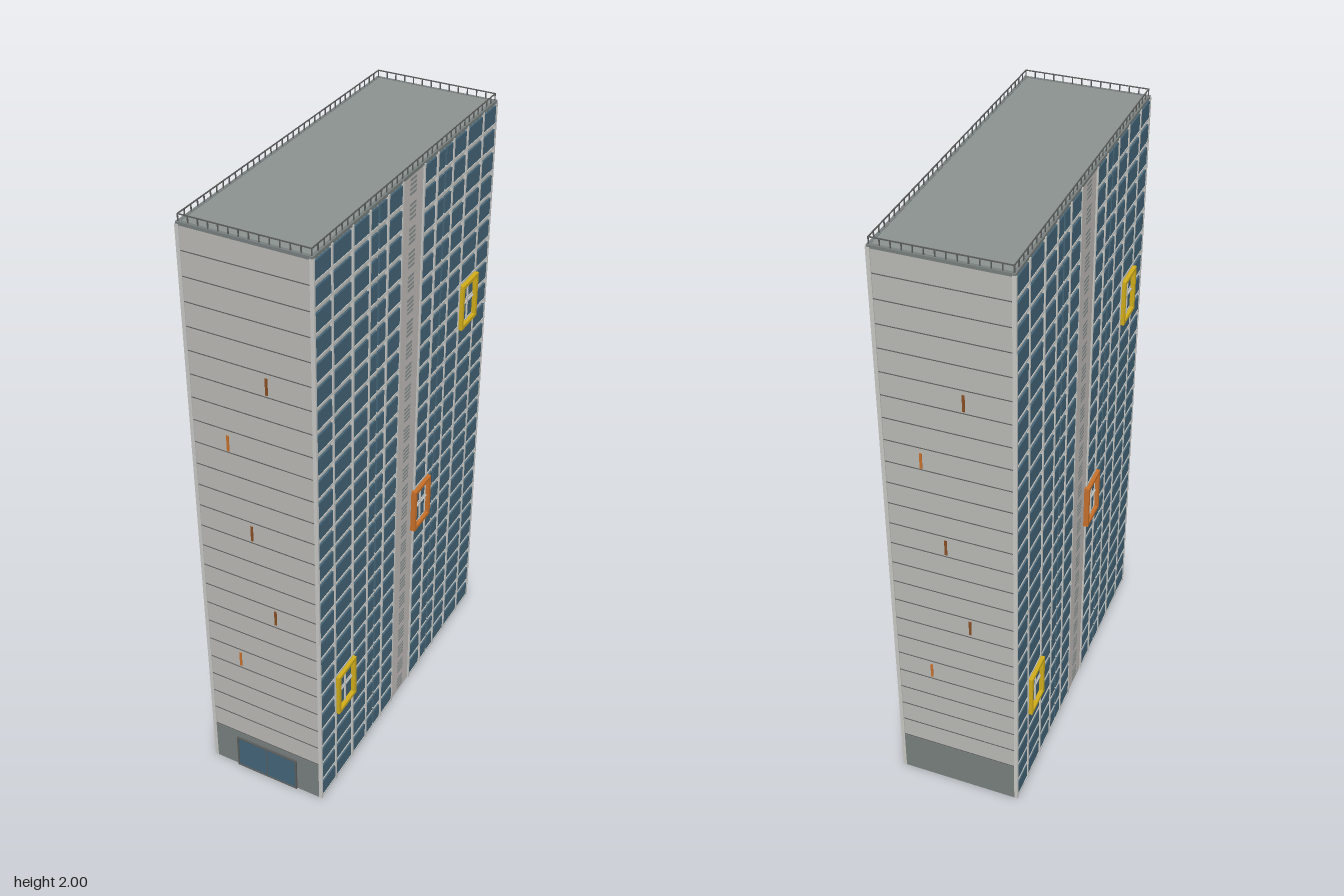
import * as THREE from 'three';
import { mergeGeometries } from 'three/addons/utils/BufferGeometryUtils.js';

const W = 0.405, L = 1.12, ROOF = 1.972, FLOORS = 26, PITCH = ROOF / FLOORS;

function material(name, color) {
  const m = new THREE.MeshStandardMaterial({ color });
  m.name = name;
  return m;
}

// One mesh made of many boxes, each [width, height, depth, x, y, z] about its centre
function boxes(name, mat, list) {
  const geos = list.map(([w, h, d, x, y, z]) => new THREE.BoxGeometry(w, h, d).translate(x, y, z));
  const mesh = new THREE.Mesh(mergeGeometries(geos), mat);
  mesh.name = name;
  return mesh;
}

export function createModel() {
  const wall = material('concrete', 0xbab9b5);
  const trim = material('pale trim', 0xc8c9c5);
  const core = material('stair core', 0xc2bcba);
  const glass = material('blue glass', 0x446578);
  const plinthGrey = material('plinth grey', 0x78807e);
  const roofGrey = material('roof grey', 0x8c9391);
  const dark = material('dark metal', 0x5c5e5d);
  const yellow = material('yellow', 0xd2ae1c);
  const orange = material('orange', 0xc8702a);
  const rust = material('rust', 0x8a4f24);

  const model = new THREE.Group();
  model.name = 'towerBlock';
  const tower = new THREE.Group();
  tower.name = 'tower';
  tower.rotation.y = 0.4;
  model.add(tower);

  // Main volumes
  tower.add(boxes('body', wall, [[W - 0.012, ROOF - 0.15, L - 0.006, 0, 0.15 + (ROOF - 0.15) / 2, 0]]));
  tower.add(boxes('plinth', plinthGrey, [[W - 0.011, 0.15, L, 0, 0.075, 0]]));
  tower.add(boxes('roof', roofGrey, [[W - 0.02, 0.006, L - 0.02, 0, ROOF + 0.002, 0]]));

  // Window columns along half of a long side; the other half mirrors them
  const columns = [[0.063, 0.143], [0.16, 0.2], [0.211, 0.251], [0.263, 0.343], [0.36, 0.457], [0.469, 0.554]];
  const fins = [0.066, 0.152, 0.257, 0.351, 0.463, 0.557];

  // Bright frame around a two-storey window, on the +x side
  function feature(name, mat, zc, yc) {
    const g = new THREE.Group();
    g.name = name;
    const w = 0.112, h = 0.158, t = 0.012, x = W / 2 + 0.005, d = 0.018;
    g.add(boxes('frame', mat, [
      [d, t, w, x, yc + (h - t) / 2, zc], [d, t, w, x, yc - (h - t) / 2, zc],
      [d, h, t, x, yc, zc + (w - t) / 2], [d, h, t, x, yc, zc - (w - t) / 2]]));
    g.add(boxes('crossBars', trim, [
      [0.006, 0.005, w - t, x - 0.003, yc, zc], [0.006, h - t, 0.004, x - 0.003, yc, zc]]));
    return g;
  }

  // One long side (+x) with one end wall (+z); the second copy is turned half round
  function half() {
    const g = new THREE.Group();
    const x = W / 2;
    const panes = [], sills = [], vents = [], seams = [], uprights = [];
    for (let f = 0; f < FLOORS; f++) {
      const y = f * PITCH;
      for (const m of [1, -1]) {
        for (const [a, b] of columns) {
          const zc = m * (a + b) / 2, w = b - a;
          panes.push([0.012, 0.054, w, x - 0.006, y + 0.039, zc]);
          sills.push([0.012, 0.006, w, x - 0.004, y + 0.009, zc]);
        }
      }
      for (let i = 0; i < 4; i++) vents.push([0.004, 0.008, 0.038, x - 0.003, y + 0.018 + i * 0.014, 0]);
      if (y > 0.1) seams.push([W - 0.012, 0.002, 0.004, 0, y, L / 2 - 0.003]);
    }
    for (const m of [1, -1]) for (const z of fins) uprights.push([0.012, ROOF, 0.007, x - 0.004, ROOF / 2, m * z]);
    g.add(boxes('windows', glass, panes));
    g.add(boxes('sills', trim, sills));
    g.add(boxes('verticalFins', trim, uprights));
    g.add(boxes('stairCore', core, [[0.008, ROOF, 0.124, x - 0.0065, ROOF / 2, 0]]));
    g.add(boxes('vents', roofGrey, vents));
    g.add(boxes('panelSeams', dark, seams));

    g.add(feature('upperYellowWindow', yellow, -0.406, 1.365));
    g.add(feature('middleOrangeWindow', orange, -0.106, 0.76));
    g.add(feature('lowerYellowWindow', yellow, 0.406, 0.383));

    // Weathering streaks on the end wall
    const z = L / 2 - 0.003;
    const streak = ([sx, sy]) => [0.008, 0.054, 0.004, sx, sy, z];
    g.add(boxes('darkStreaks', rust, [[0.052, 1.55], [-0.017, 1.02], [0.052, 0.72]].map(streak)));
    g.add(boxes('brightStreaks', orange, [[-0.082, 1.32], [-0.082, 0.49]].map(streak)));
    return g;
  }
  const sideA = half(), sideB = half();
  sideA.name = 'leftSideAndFrontEnd';
  sideB.name = 'rightSideAndBackEnd';
  sideB.rotation.y = Math.PI;
  tower.add(sideA, sideB);

  // Entrance on the front end
  const zf = L / 2;
  tower.add(boxes('entranceGlass', glass, [[0.214, 0.122, 0.006, 0, 0.064, zf]]));
  tower.add(boxes('entranceFrame', dark, [
    [0.222, 0.005, 0.012, 0, 0.127, zf], [0.222, 0.004, 0.012, 0, 0.002, zf],
    [0.005, 0.128, 0.012, -0.109, 0.064, zf], [0.005, 0.128, 0.012, 0.109, 0.064, zf],
    [0.003, 0.122, 0.009, 0, 0.064, zf]]));

  // Low roof kerb and the railing above it
  const kerb = [], rail = [], kx = W / 2 - 0.006, kz = L / 2 - 0.006;
  for (const s of [1, -1]) {
    kerb.push([0.01, 0.01, L, s * kx, ROOF + 0.001, 0], [W, 0.01, 0.01, 0, ROOF + 0.001, s * kz]);
    rail.push([0.003, 0.003, L - 0.01, s * kx, 1.9985, 0], [W - 0.01, 0.003, 0.003, 0, 1.9985, s * kz]);
    for (let i = 0; i <= 36; i++) rail.push([0.003, 0.026, 0.003, s * kx, 1.986, -kz + 2 * kz * i / 36]);
    for (let i = 1; i < 13; i++) rail.push([0.003, 0.026, 0.003, -kx + 2 * kx * i / 13, 1.986, s * kz]);
  }
  tower.add(boxes('roofKerb', plinthGrey, kerb));
  tower.add(boxes('roofRailing', dark, rail));
  return model;
}
